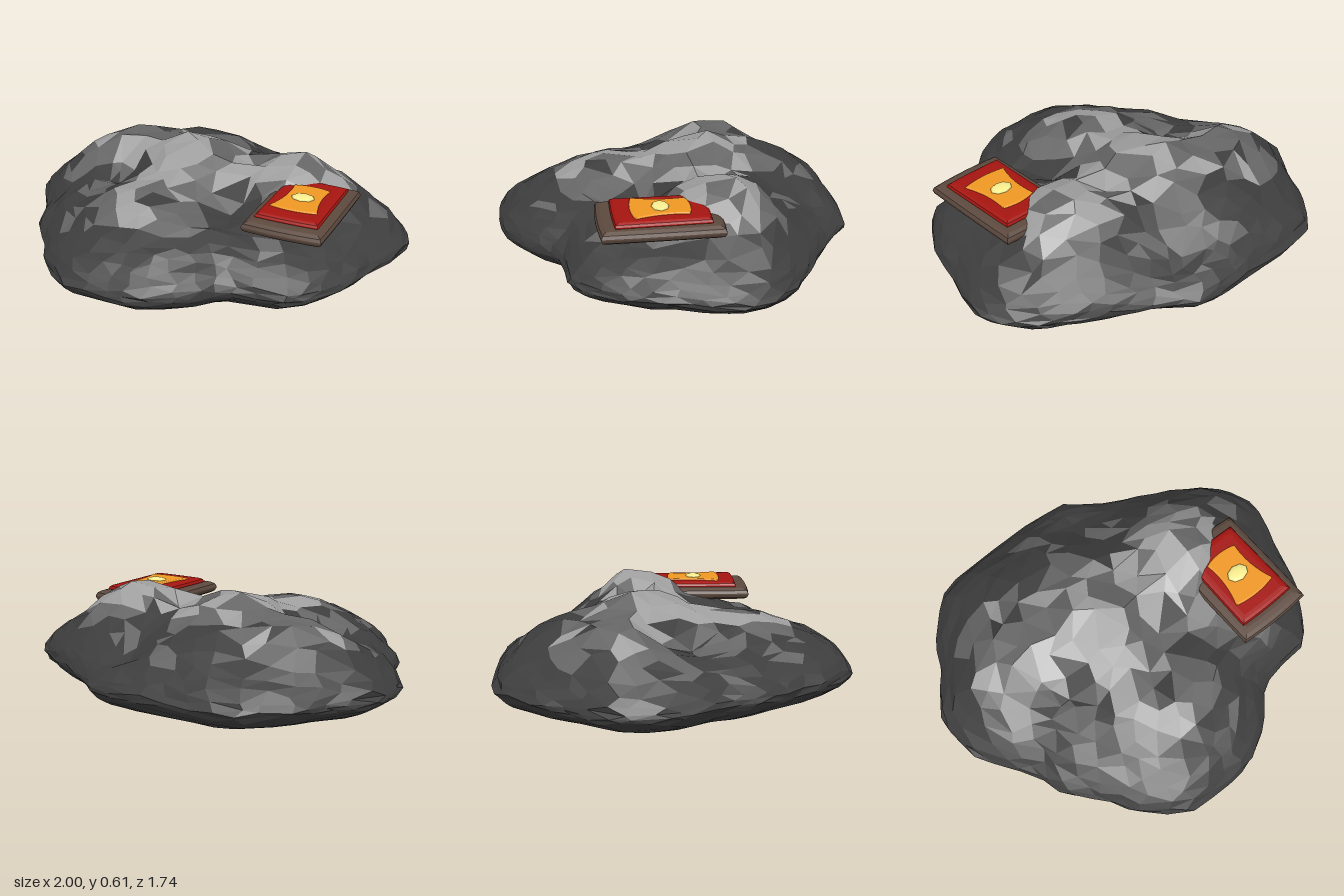
import * as THREE from 'three';

// Plan outline of the boulder at its widest level, as [x, z]
const OUTLINE = [
  [1.01, -0.2], [0.985, -0.05], [0.925, 0.08], [0.9, 0.22], [0.85, 0.34], [0.74, 0.51], [0.65, 0.575], [0.44, 0.58],
  [0.35, 0.63], [0.25, 0.74], [0.12, 0.83], [0, 0.87], [-0.31, 0.87], [-0.4, 0.82], [-0.55, 0.68], [-0.61, 0.57],
  [-0.75, 0.4], [-0.79, 0.33], [-0.81, 0.21], [-0.9, 0.1], [-0.985, -0.05], [-1.01, -0.2], [-0.985, -0.36],
  [-0.87, -0.48], [-0.8, -0.62], [-0.6, -0.84], [-0.45, -0.875], [0.15, -0.875], [0.24, -0.84], [0.35, -0.735],
  [0.5, -0.66], [0.7, -0.55], [0.89, -0.43], [0.965, -0.32],
];

// Humps and creases on the upper side: x, z, height, radius
const HUMPS = [
  [-0.13, -0.15, 0.18, 0.24], [-0.62, -0.32, 0.155, 0.25], [0.42, -0.17, 0.19, 0.27], [-0.2, 0.35, 0.08, 0.3],
  [-0.2, -0.57, 0.085, 0.24], [0.64, -0.36, 0.04, 0.2],
  [0.2, -0.65, -0.08, 0.14], [0.17, 0.2, -0.07, 0.13], [-0.5, 0.03, -0.07, 0.13], [0.16, -0.2, -0.04, 0.1],
];

const RIM_Y = 0.225;

// Repeatable noise in 0..1 for a position
function hash(x, y, z, seed) {
  const n = Math.sin(x * 127.1 + y * 311.7 + z * 74.7 + seed * 19.3) * 43758.5453;
  return n - Math.floor(n);
}

// Distance from the centre to the outline along a unit direction
function outlineRadius(dx, dz) {
  let radius = 0;
  OUTLINE.forEach(([ax, az], i) => {
    const [bx, bz] = OUTLINE[(i + 1) % OUTLINE.length];
    const ex = bx - ax, ez = bz - az;
    const den = dx * ez - dz * ex;
    if (Math.abs(den) < 1e-9) return;
    const r = (ax * ez - az * ex) / den;
    const s = (ax * dz - az * dx) / den;
    if (r > 0 && s >= -1e-6 && s <= 1 + 1e-6) radius = Math.max(radius, r);
  });
  return radius;
}

// Moves a point of the unit sphere onto the boulder
function toBoulder(v) {
  const key = [v.x, v.y, v.z].map((c) => Math.round(c * 1000) / 1000 + 0);
  const noise = (seed) => hash(...key, seed) - 0.5;
  v.x += noise(1) * 0.07;
  v.y += noise(2) * 0.07;
  v.z += noise(3) * 0.07;
  v.normalize();
  const t = Math.hypot(v.x, v.z);
  const reach = t > 1e-6 ? outlineRadius(v.x / t, v.z / t) * (1 - 0.015 * hash(...key, 5)) : 0;
  const x = v.x * reach;
  const z = v.z * reach;
  let y;
  if (v.y > 0) {
    let h = 0.2 + noise(4) * 0.03;
    for (const [hx, hz, a, w] of HUMPS) h += a * Math.exp(-((x - hx) ** 2 + (z - hz) ** 2) / (w * w));
    y = RIM_Y + h * Math.max(0, 1 - t ** 4) ** 0.65;
  } else {
    y = RIM_Y - RIM_Y * Math.max(0, 1 - t * t) ** 0.6;
  }
  return v.set(x, y, z);
}

// Faceted boulder, with its facets sorted into three tones of stone
function makeBoulder() {
  const pos = new THREE.IcosahedronGeometry(1, 8).getAttribute('position');
  const tones = [
    { name: 'darkStone', color: 0x3e3e3e, points: [] },
    { name: 'midStone', color: 0x666666, points: [] },
    { name: 'paleStone', color: 0xa0a0a0, points: [] },
  ];
  for (let i = 0; i < pos.count; i += 3) {
    const tri = [0, 1, 2].map((k) => toBoulder(new THREE.Vector3().fromBufferAttribute(pos, i + k)));
    const mid = tri[0].clone().add(tri[1]).add(tri[2]).divideScalar(3);
    const patch = hash(Math.round(mid.x * 8), 0, Math.round(mid.z * 8), 7);
    const value = (mid.y - 0.3) / 0.27 + (patch - 0.5) * 0.8;
    const tone = mid.y < 0.34 ? 0 : value > 0.88 ? 2 : value > 0.5 ? 1 : 0;
    for (const p of tri) tones[tone].points.push(p);
  }
  const boulder = new THREE.Group();
  boulder.name = 'boulder';
  for (const { name, color, points } of tones) {
    const geo = new THREE.BufferGeometry().setFromPoints(points);
    geo.computeVertexNormals();
    const mesh = new THREE.Mesh(geo, new THREE.MeshStandardMaterial({ color, flatShading: true }));
    mesh.name = name;
    boulder.add(mesh);
  }
  return boulder;
}

// Four-cornered plan with sides bowed out (positive) or in (negative)
function bowedShape(backHalf, frontHalf, halfDepth, sideBow, endBow) {
  const s = new THREE.Shape();
  s.moveTo(-frontHalf, -halfDepth);
  s.quadraticCurveTo(0, -halfDepth - endBow, frontHalf, -halfDepth);
  s.quadraticCurveTo((backHalf + frontHalf) / 2 + sideBow, 0, backHalf, halfDepth);
  s.quadraticCurveTo(0, halfDepth + endBow, -backHalf, halfDepth);
  s.quadraticCurveTo(-(backHalf + frontHalf) / 2 - sideBow, 0, -frontHalf, -halfDepth);
  return s;
}

// Flat layer with bevelled edges, lying between two heights
function makeLayer(name, color, shape, bottom, top, bevelSize, x, z) {
  const bevel = (top - bottom) * 0.45;
  const geo = new THREE.ExtrudeGeometry(shape, {
    depth: top - bottom - bevel * 2,
    bevelThickness: bevel,
    bevelSize,
    bevelOffset: -bevelSize,
    bevelSegments: 3,
    curveSegments: 8,
  });
  geo.rotateX(-Math.PI / 2);
  const mesh = new THREE.Mesh(geo, new THREE.MeshStandardMaterial({ color }));
  mesh.name = name;
  mesh.position.set(x, bottom + bevel, z);
  return mesh;
}

// Glowing pool: crust, red, orange and a bright core, stacked
function makeLavaPool() {
  const pool = new THREE.Group();
  pool.name = 'lavaPool';
  pool.add(
    makeLayer('crust', 0x5c493e, bowedShape(0.195, 0.195, 0.28, 0.005, 0.02), 0.44, 0.507, 0.05, 0.565, 0.14),
    makeLayer('redLava', 0xa51510, bowedShape(0.15, 0.155, 0.22, 0, 0.01), 0.49, 0.532, 0.035, 0.565, 0.135),
    makeLayer('orangeLava', 0xf09824, bowedShape(0.09, 0.118, 0.125, -0.035, 0.03), 0.525, 0.54, 0.008, 0.565, 0.135),
  );
  const core = new THREE.Mesh(
    new THREE.SphereGeometry(1, 8, 6),
    new THREE.MeshStandardMaterial({ color: 0xf8ee90 }),
  );
  core.name = 'brightCore';
  core.scale.set(0.058, 0.012, 0.042);
  core.position.set(0.565, 0.54, 0.135);
  pool.add(core);
  return pool;
}

export function createModel() {
  const model = new THREE.Group();
  model.name = 'lavaRock';
  model.add(makeBoulder(), makeLavaPool());
  return model;
}
